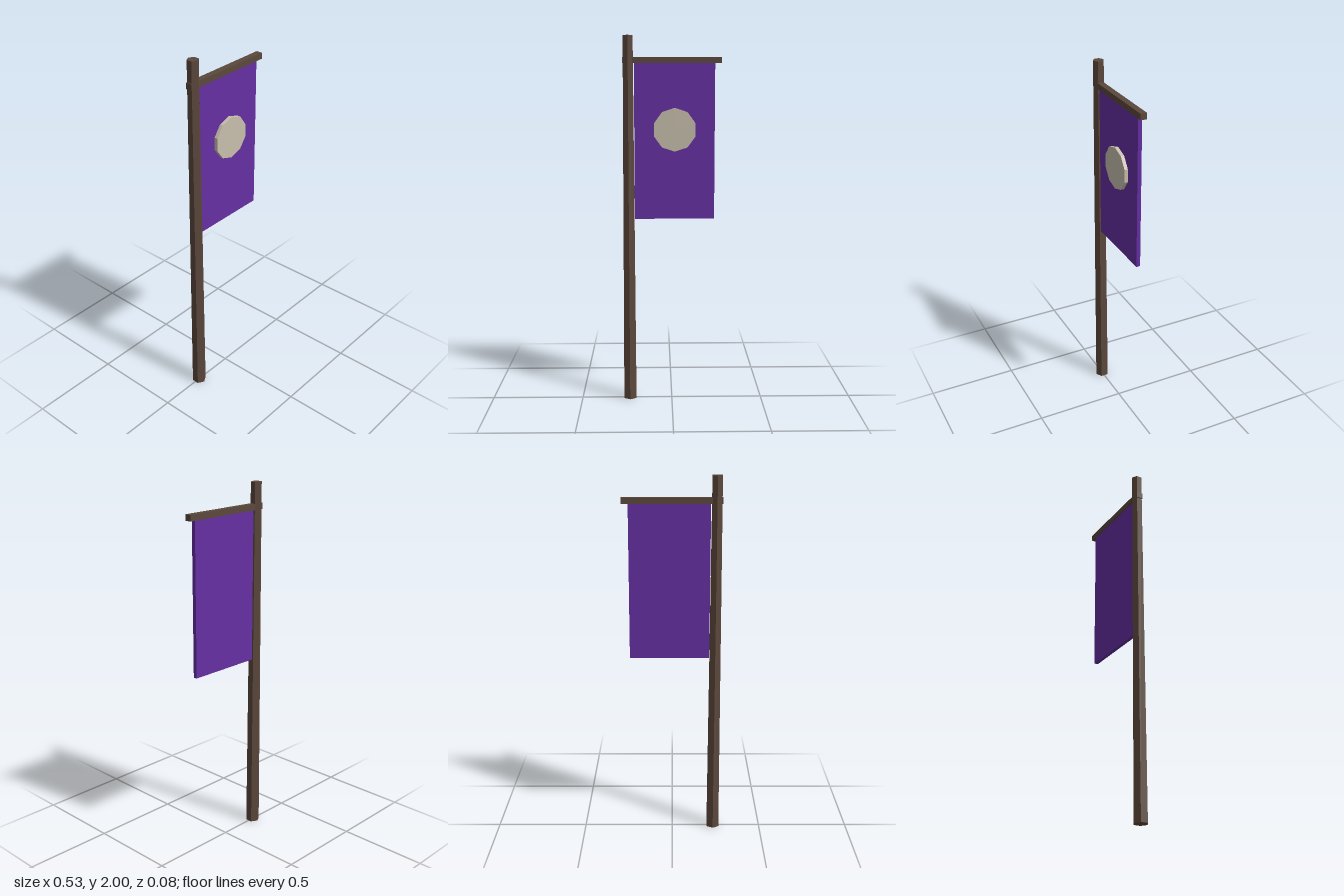
import * as THREE from 'three';

export function createModel() {
  const group = new THREE.Group();
  const material = (name, color) => {
    const m = new THREE.MeshStandardMaterial({ color });
    m.name = name;
    return m;
  };
  const wood = material('dark wood', 0x5c483c);
  const cloth = material('purple cloth', 0x652fa3);
  const bone = material('pale disc', 0xc8bfae);

  const add = (name, geometry, mat, x, y, z) => {
    // Split vertices and recompute normals so every facet is flat
    const flat = geometry.toNonIndexed();
    flat.computeVertexNormals();
    const mesh = new THREE.Mesh(flat, mat);
    mesh.name = name;
    mesh.position.set(x, y, z);
    group.add(mesh);
  };

  // Tapered six-sided pole
  add('pole', new THREE.CylinderGeometry(0.03, 0.039, 2, 6), wood, -0.233, 1, 0);

  // Crossbar passing through the pole
  add('crossbar', new THREE.BoxGeometry(0.53, 0.033, 0.034), wood, 0.001, 1.87, 0);

  // Hanging banner
  add('banner', new THREE.BoxGeometry(0.431, 0.835, 0.022), cloth, 0.0145, 1.4375, 0);

  // Ten-sided disc on the front of the banner, one corner pointing up
  const disc = new THREE.CylinderGeometry(0.116, 0.116, 0.022, 10).rotateX(Math.PI / 2);
  add('emblemDisc', disc, bone, 0.0155, 1.503, 0.019);

  return group;
}
